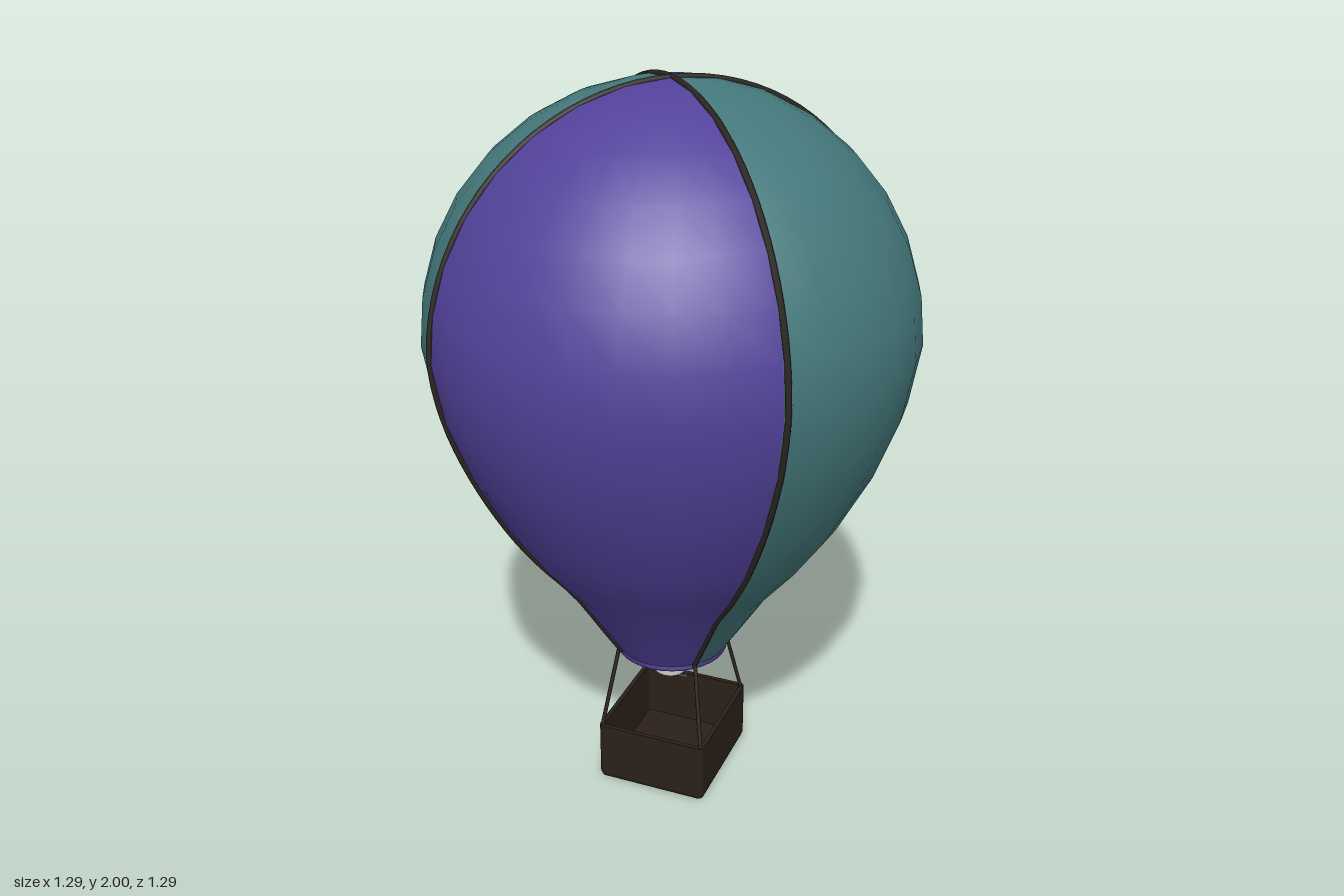
import * as THREE from 'three';

const material = (color, side = THREE.FrontSide) => new THREE.MeshStandardMaterial({ color, side });
const purple = material(0x53429b, THREE.DoubleSide);
const teal = material(0x45797c, THREE.DoubleSide);
const rope = material(0x2b2622);
const wicker = material(0x2a2018);
const metal = material(0xcccccc);

function add(parent, name, geometry, mat) {
  const mesh = new THREE.Mesh(geometry, mat);
  mesh.name = name;
  parent.add(mesh);
  return mesh;
}

// Envelope outline as [radius, height], mouth to crown; the upper half is a quarter circle
function envelopeProfile() {
  const points = [[0.153, 0.405], [0.195, 0.47], [0.29, 0.62], [0.385, 0.735], [0.465, 0.85],
    [0.555, 1.02], [0.618, 1.19]].map(([r, y]) => new THREE.Vector2(r, y));
  for (let i = 0; i <= 8; i++) {
    const a = (i / 8) * Math.PI / 2;
    points.push(new THREE.Vector2(Math.max(0, 0.645 * Math.cos(a)), 1.35 + 0.645 * Math.sin(a)));
  }
  return points;
}

// Closed rounded rectangle of half sizes w, d at height y
function roundedRing(w, d, r, y) {
  const ring = [];
  for (let corner = 0; corner < 4; corner++) {
    const sx = corner === 0 || corner === 3 ? 1 : -1;
    const sz = corner < 2 ? 1 : -1;
    for (let i = 0; i <= 3; i++) {
      const a = (corner + i / 3) * Math.PI / 2;
      ring.push(new THREE.Vector3(sx * (w - r) + r * Math.cos(a), y, sz * (d - r) + r * Math.sin(a)));
    }
  }
  return ring;
}

// Skin between successive rings, with flat facets
function loft(rings) {
  const position = [];
  const push = (...vs) => vs.forEach(v => position.push(v.x, v.y, v.z));
  for (let k = 0; k < rings.length - 1; k++) {
    const a = rings[k], b = rings[k + 1], n = a.length;
    for (let i = 0; i < n; i++) {
      const j = (i + 1) % n;
      push(a[i], b[i], a[j], a[j], b[i], b[j]);
    }
  }
  const geometry = new THREE.BufferGeometry();
  geometry.setAttribute('position', new THREE.Float32BufferAttribute(position, 3));
  geometry.computeVertexNormals();
  return geometry;
}

export function createModel() {
  const model = new THREE.Group();
  model.name = 'hotAirBalloon';
  const profile = envelopeProfile();

  // Four coloured gores, purple front and back, teal at the sides
  const envelope = new THREE.Group();
  envelope.name = 'envelope';
  model.add(envelope);
  ['frontPanel', 'leftPanel', 'backPanel', 'rightPanel'].forEach((name, i) => {
    const start = -Math.PI / 4 + i * Math.PI / 2;
    add(envelope, name, new THREE.LatheGeometry(profile, 8, start, Math.PI / 2), i % 2 ? teal : purple);
  });

  // Mouth band
  const band = [[0.146, 0.397], [0.157, 0.397], [0.157, 0.42], [0.146, 0.42], [0.146, 0.397]]
    .map(([r, y]) => new THREE.Vector2(r, y));
  add(envelope, 'mouthBand', new THREE.LatheGeometry(band, 32), purple);

  // Seam ropes running over the crown along the panel joins
  for (let i = 0; i < 2; i++) {
    const angle = Math.PI / 4 + i * Math.PI / 2 - 0.015;
    const at = (p, s) => new THREE.Vector3(s * p.x * Math.cos(angle), p.y, s * p.x * Math.sin(angle));
    const path = [...profile.map(p => at(p, 1)), ...profile.slice(0, -1).reverse().map(p => at(p, -1))];
    const curve = new THREE.CatmullRomCurve3(path);
    add(envelope, 'seamRope', new THREE.TubeGeometry(curve, 90, 0.008, 6), rope);
  }

  // Suspension ropes to the basket corners
  for (const sx of [-1, 1]) for (const sz of [-1, 1]) {
    const line = new THREE.LineCurve3(
      new THREE.Vector3(sx * 0.114, 0.42, sz * 0.112),
      new THREE.Vector3(sx * 0.152 + 0.002, 0.165, sz * 0.169 - 0.003));
    add(model, 'suspensionRope', new THREE.TubeGeometry(line, 1, 0.006, 6), rope);
  }

  // Open basket: outside up, over the rim, down to the floor
  const basket = add(model, 'basket', loft([
    roundedRing(0.002, 0.002, 0.001, 0),
    roundedRing(0.147, 0.165, 0.012, 0),
    roundedRing(0.156, 0.174, 0.014, 0.004),
    roundedRing(0.16, 0.178, 0.015, 0.015),
    roundedRing(0.16, 0.178, 0.015, 0.178),
    roundedRing(0.147, 0.165, 0.008, 0.178),
    roundedRing(0.147, 0.165, 0.008, 0.015),
    roundedRing(0.002, 0.002, 0.001, 0.015),
  ]), wicker);
  basket.position.set(0.003, 0, -0.004);

  // Burner with a thin wire handle below it
  const burner = new THREE.Group();
  burner.name = 'burner';
  burner.position.set(0.006, 0, 0.026);
  model.add(burner);
  add(burner, 'burnerCan', new THREE.CylinderGeometry(0.068, 0.068, 0.07, 24), metal).position.y = 0.405;
  add(burner, 'burnerNozzle', new THREE.CylinderGeometry(0.045, 0.045, 0.05, 24), metal).position.y = 0.35;
  for (const s of [-1, 1]) {
    add(burner, 'handleSide', new THREE.CylinderGeometry(0.002, 0.002, 0.07, 6), metal)
      .position.set(s * 0.048, 0.34, 0);
  }
  const bar = add(burner, 'handleBar', new THREE.CylinderGeometry(0.002, 0.002, 0.1, 6), metal);
  bar.rotation.z = Math.PI / 2;
  bar.position.y = 0.306;

  return model;
}
